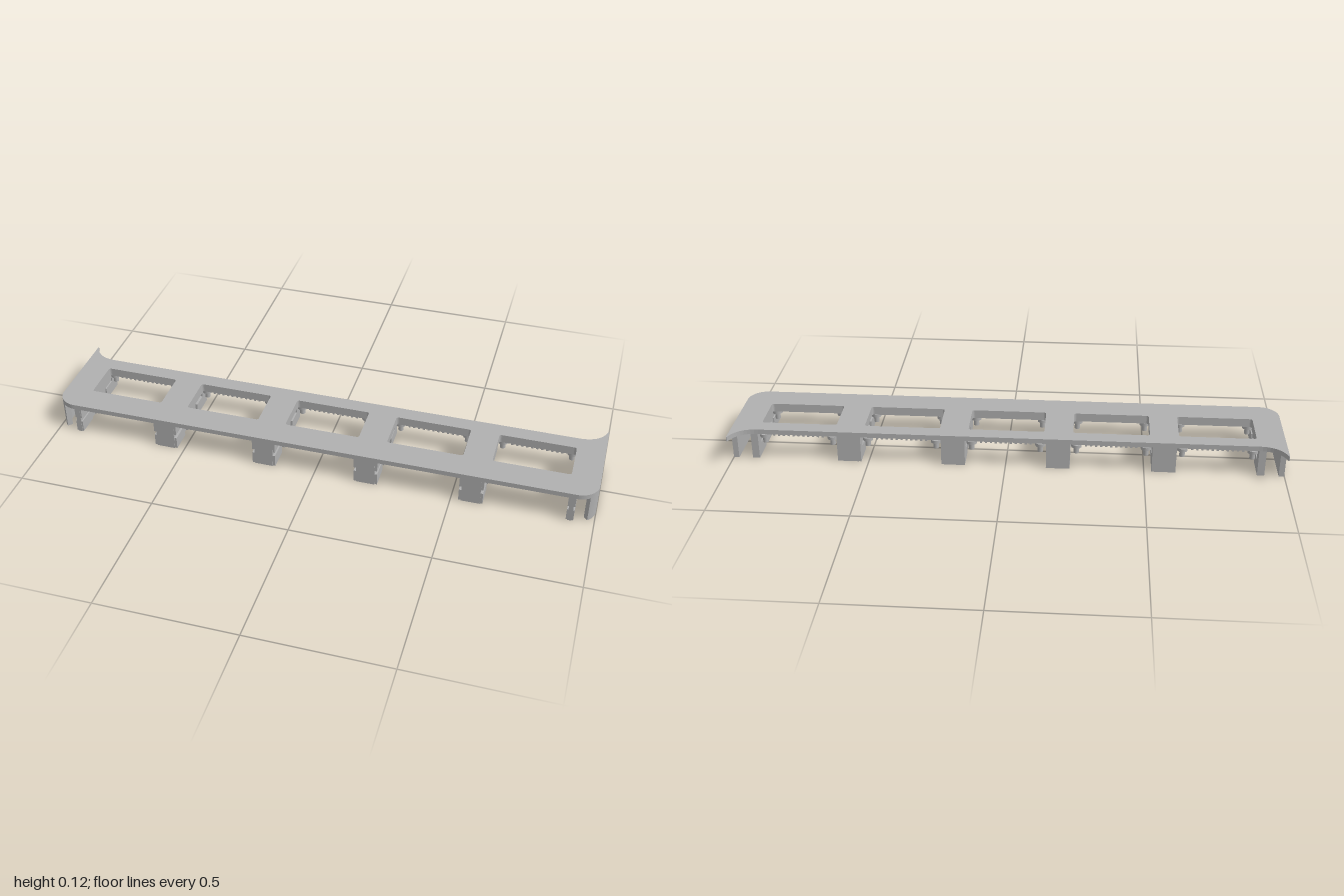
import * as THREE from 'three';

const grey = new THREE.MeshStandardMaterial({ color: 0xb0b0b0 });
grey.name = 'plain grey';

export function createModel() {
  const model = new THREE.Group();
  model.name = 'fivePortFrame';

  const add = (parent, name, geometry, x = 0, y = 0, z = 0) => {
    const mesh = new THREE.Mesh(geometry, grey);
    mesh.name = name;
    mesh.position.set(x, y, z);
    parent.add(mesh);
    return mesh;
  };
  // box given by its extents
  const box = (parent, name, x0, x1, y0, y1, z0, z1) =>
    add(parent, name, new THREE.BoxGeometry(x1 - x0, y1 - y0, z1 - z0),
      (x0 + x1) / 2, (y0 + y1) / 2, (z0 + z1) / 2);
  // plan outline (x, z) extruded between two heights
  const slab = (parent, name, shape, y0, y1) => {
    const g = new THREE.ExtrudeGeometry(shape, { depth: y1 - y0, bevelEnabled: false, curveSegments: 10 });
    g.rotateX(Math.PI / 2);
    return add(parent, name, g, 0, y1, 0);
  };
  const roundedRect = (Type, x0, x1, z0, z1, r) => {
    const p = new Type();
    p.moveTo(x0 + r, z0);
    p.lineTo(x1 - r, z0).quadraticCurveTo(x1, z0, x1, z0 + r);
    p.lineTo(x1, z1 - r).quadraticCurveTo(x1, z1, x1 - r, z1);
    p.lineTo(x0 + r, z1).quadraticCurveTo(x0, z1, x0, z1 - r);
    p.lineTo(x0, z0 + r).quadraticCurveTo(x0, z0, x0 + r, z0);
    return p;
  };

  const BACK = -0.125, FRONT = 0.188, R = 0.07;
  const windows = [-0.76, -0.38, 0, 0.38, 0.76];
  const windowHole = (x) => roundedRect(THREE.Path, x - 0.138, x + 0.138, -0.068, 0.085, 0.01);

  // top plate with rounded front corners and flared back corners
  const outline = new THREE.Shape();
  outline.moveTo(-0.9, BACK);
  outline.lineTo(0.9, BACK);
  outline.quadraticCurveTo(0.975, BACK, 0.997, -0.19);
  outline.lineTo(1, -0.19);
  outline.lineTo(1, FRONT - R);
  outline.absarc(1 - R, FRONT - R, R, 0, Math.PI / 2, false);
  outline.lineTo(-1 + R, FRONT);
  outline.absarc(-1 + R, FRONT - R, R, Math.PI / 2, Math.PI, false);
  outline.lineTo(-1, -0.19);
  outline.lineTo(-0.997, -0.19);
  outline.quadraticCurveTo(-0.975, BACK, -0.9, BACK);
  outline.holes = windows.map(windowHole);
  slab(model, 'topPlate', outline, 0.1, 0.118);

  // rim and four pegs under each window
  windows.forEach((x) => {
    const unit = new THREE.Group();
    unit.name = 'windowMount';
    model.add(unit);
    const rim = roundedRect(THREE.Shape, x - 0.15, x + 0.15, -0.1, 0.115, 0.012);
    rim.holes = [windowHole(x)];
    slab(unit, 'windowRim', rim, 0.086, 0.1);
    for (const sx of [-1, 1]) for (const z of [-0.088, 0.102]) {
      add(unit, 'pegCollar', new THREE.CylinderGeometry(0.019, 0.019, 0.012, 16), x + sx * 0.125, 0.08, z);
      add(unit, 'pegStem', new THREE.CylinderGeometry(0.01, 0.01, 0.034, 12), x + sx * 0.125, 0.067, z);
    }
    // fine teeth along the back of the rim
    for (let i = -5; i <= 5; i++) {
      box(unit, 'rimTooth', x + i * 0.018 - 0.004, x + i * 0.018 + 0.004, 0.08, 0.086, -0.098, -0.07);
    }
  });

  // grooved cross rib with a notched lower flange
  const rib = (x, halfWidth, coreHalf) => {
    const g = new THREE.Group();
    g.name = 'crossRib';
    g.position.x = x;
    model.add(g);
    box(g, 'ribCore', -coreHalf, coreHalf, 0, 0.1, BACK + 0.001, FRONT);
    box(g, 'ribShoulder', -halfWidth, halfWidth, 0.062, 0.1, BACK + 0.002, FRONT - 0.001);
    box(g, 'ribBackBlock', -halfWidth, halfWidth, 0.001, 0.1, BACK, -0.085);
    for (const [z0, z1] of [[-0.085, -0.03], [0.0, 0.075], [0.105, FRONT - 0.002]]) {
      box(g, 'ribFlange', -halfWidth, halfWidth, 0.001, 0.046, z0, z1);
    }
  };
  [-0.57, -0.19, 0.19, 0.57].forEach((x) => rib(x, 0.043, 0.034));
  [-0.916, 0.916].forEach((x) => rib(x, 0.013, 0.008));

  // outer end walls, curling round the front corners
  for (const s of [-1, 1]) {
    const t = 0.02, end = 0.87, n = 8;
    const pts = [[1, BACK]];
    for (let i = 0; i <= n; i++) {
      const a = end * i / n;
      pts.push([1 - R + R * Math.cos(a), FRONT - R + R * Math.sin(a)]);
    }
    for (let i = n; i >= 0; i--) {
      const a = end * i / n;
      pts.push([1 - R + (R - t) * Math.cos(a), FRONT - R + (R - t) * Math.sin(a)]);
    }
    pts.push([1 - t, BACK]);
    const wall = new THREE.Shape(pts.map(([x, z]) => new THREE.Vector2(s * x, z)));
    slab(model, s > 0 ? 'leftEndWall' : 'rightEndWall', wall, 0, 0.1);
  }

  return model;
}
